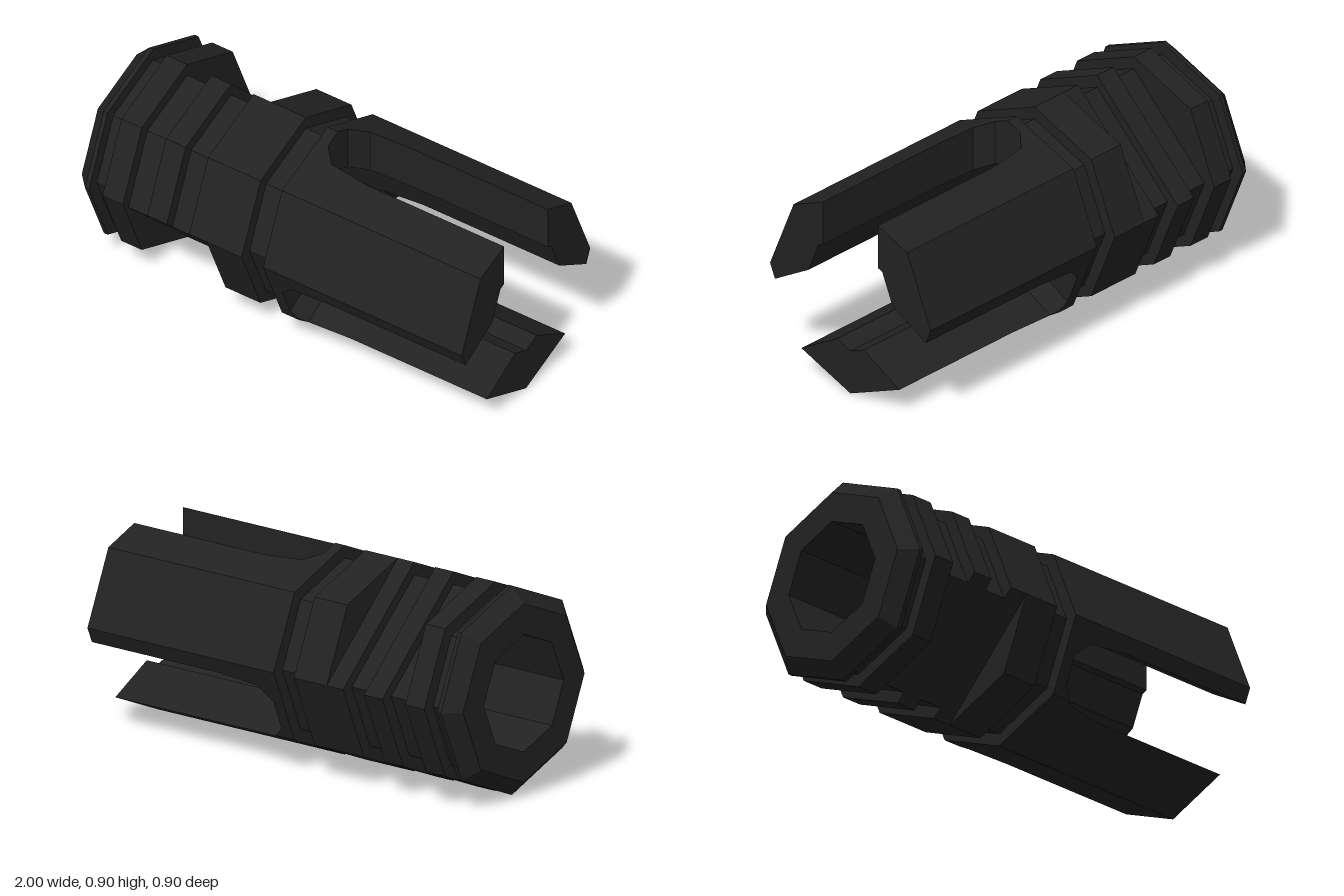
import * as THREE from 'three';

const R = 0.4525;      // outer octagon radius
const GROOVE = 0.397;  // groove octagon radius
const BORE = 0.254;    // bore radius
const SLOT_START = 0.035;
const rad = (deg) => (deg * Math.PI) / 180;
const polar = (r, deg) => [r * Math.cos(rad(deg)), r * Math.sin(rad(deg))]; // [z, y]
const mix = (a, b, t) => [a[0] + (b[0] - a[0]) * t, a[1] + (b[1] - a[1]) * t];
const dot = (a, b) => a[0] * b[0] + a[1] * b[1];
const at = (x, p) => new THREE.Vector3(x, p[1] + R, p[0]);

// Adds a quad as two triangles, leaving out collapsed ones
function quad(out, a, b, c, d) {
  for (const [p, q, r] of [[a, d, c], [a, c, b]]) {
    const area = q.clone().sub(p).cross(r.clone().sub(p)).length();
    if (area > 1e-7) out.push(p, q, r);
  }
}

// Joins a row of closed rings
function loft(out, rings) {
  for (let i = 0; i + 1 < rings.length; i++) {
    const n = rings[i].length;
    for (let j = 0; j < n; j++) {
      const k = (j + 1) % n;
      quad(out, rings[i][j], rings[i][k], rings[i + 1][k], rings[i + 1][j]);
    }
  }
}

function makeMesh(points, material, name) {
  const geometry = new THREE.BufferGeometry().setFromPoints(points);
  geometry.computeVertexNormals();
  const mesh = new THREE.Mesh(geometry, material);
  mesh.name = name;
  return mesh;
}

// Octagon section with optional wrench flats on the two diagonal corners.
// The lower front flat stays solid where the grooves run into it.
function section(x, r, flat = false) {
  const p = [0, 45, 90, 135, 180, 225, 270, 315].map((a) => polar(r, a));
  let e1 = mix(p[6], p[7], 0.12);
  let e2 = mix(p[0], p[7], 0.12);
  if (flat) {
    p[3] = mix(p[2], p[4], 0.5);
    const c = R / 2;
    p[7] = [c, -c];
    e1 = [0.038, 0.038 - R];
    e2 = [R - 0.038, -0.038];
  }
  return [...p.slice(0, 7), e1, p[7], e2].map((q) => at(x, q));
}

// Grooved body with its bore, as one closed ring of sections
function makeBody(material) {
  const rings = [section(-1, BORE), section(-1, 0.386), section(-0.935, R)];
  const bands = [ // from, to, radius, flats
    [-0.935, -0.915, R, false],
    [-0.915, -0.845, GROOVE, false],
    [-0.845, -0.74, R, false],
    [-0.74, -0.615, GROOVE, true],
    [-0.615, -0.515, R, true],
    [-0.515, -0.4, GROOVE, true],
    [-0.4, -0.31, R, true],
    [-0.31, -0.13, R, false],
    [-0.13, -0.02, GROOVE, false],
    [-0.02, SLOT_START, R, false],
  ];
  for (const [from, to, r, flat] of bands) {
    rings.push(section(from, r, flat), section(to, r, flat));
  }
  rings.push(section(SLOT_START, BORE), section(-1, BORE));
  const out = [];
  loft(out, rings);
  return makeMesh(out, material, 'groovedBody');
}

// Where a slot edge (slot angle, signed offset) meets an octagon
function slotEdge(r, angle, offset) {
  const dir = polar(1, angle);
  const side = polar(offset, angle + 90);
  let reach = Infinity;
  for (let i = 0; i < 8; i++) {
    const n = polar(1, 22.5 + 45 * i);
    const along = dot(n, dir);
    if (along > 1e-6) reach = Math.min(reach, (r * Math.cos(rad(22.5)) - dot(n, side)) / along);
  }
  return [dir[0] * reach + side[0], dir[1] * reach + side[1]];
}

// Octagon arc between two slots, corners swallowed by a slot move to its edge
function arc(r, start, corners, w) {
  const end = start + 120;
  const first = slotEdge(r, start, w);
  const last = slotEdge(r, end, -w);
  const middle = corners.map((a) => {
    const v = polar(r, a);
    if (dot(v, polar(1, start + 90)) < w) return first;
    if (dot(v, polar(1, end + 90)) > -w) return last;
    return v;
  });
  return [first, ...middle, last];
}

function makeProng(start, corners, material) {
  const stations = [[SLOT_START, 0.07], [0.068, 0.103], [0.1, 0.135], [0.3, 0.155], [1, 0.155]]; // x, slot half width
  const out = [];
  let outer, inner;
  const rings = stations.map(([x, w]) => {
    outer = arc(R, start, corners, w).map((p) => at(x, p));
    inner = arc(BORE, start, corners, w).map((p) => at(x, p));
    return [...outer, ...inner.slice().reverse()];
  });
  loft(out, rings);
  // Muzzle end face
  for (let i = 0; i + 1 < outer.length; i++) quad(out, inner[i], outer[i], outer[i + 1], inner[i + 1]);
  return makeMesh(out, material, 'prong');
}

export function createModel() {
  const group = new THREE.Group();
  group.name = 'slottedMuzzleDevice';
  const blackSteel = new THREE.MeshStandardMaterial({ color: 0x222222, flatShading: true });
  blackSteel.name = 'blackSteel';

  group.add(makeBody(blackSteel));
  // Three prongs between slots at 90, 210 and 330 degrees
  const prongs = [[90, [135, 180]], [210, [225, 270, 315]], [330, [360, 405]]];
  for (const [start, corners] of prongs) group.add(makeProng(start, corners, blackSteel));
  return group;
}
